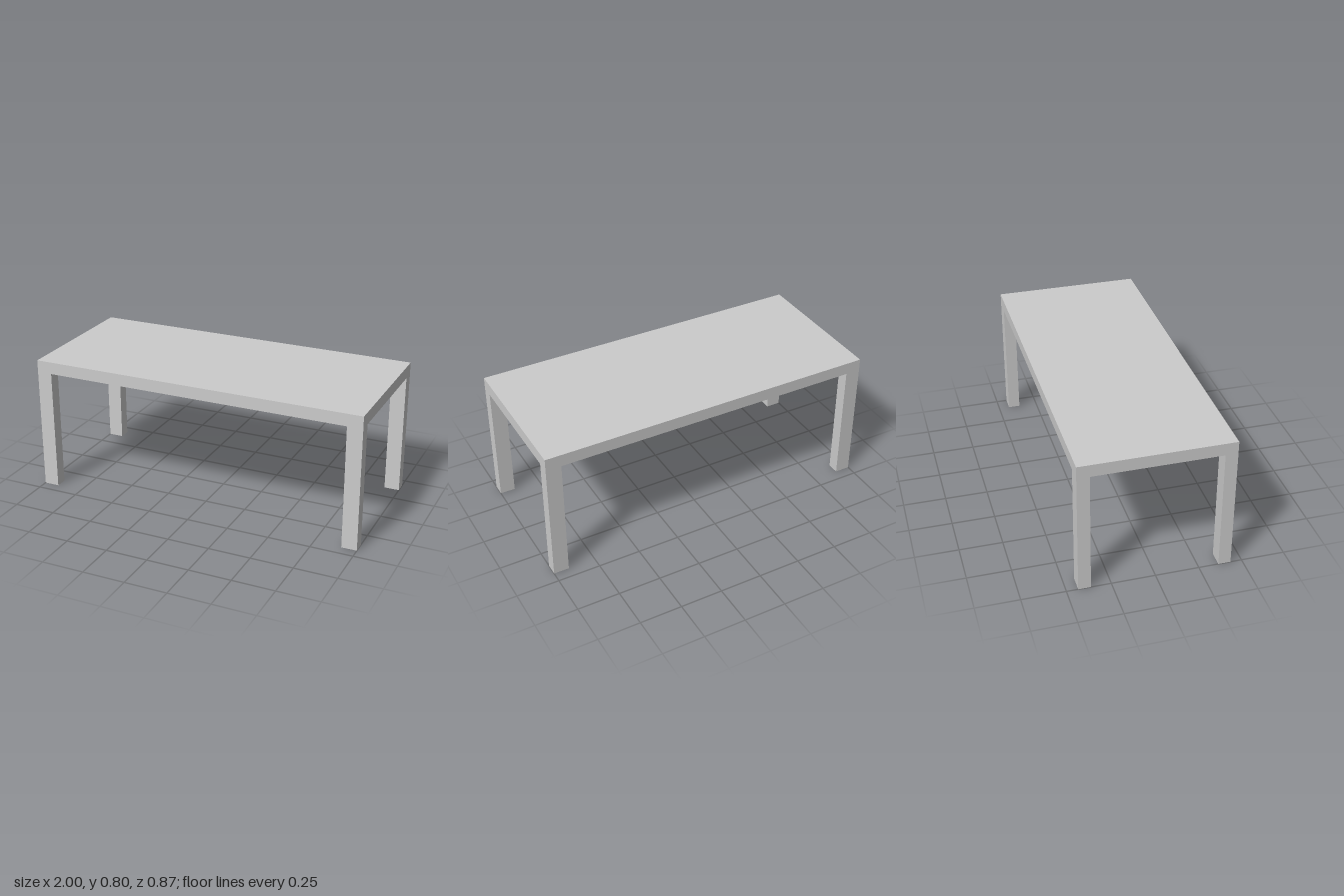
import * as THREE from 'three';

const WIDTH = 2, DEPTH = 0.87, HEIGHT = 0.8, TOP = 0.072;
const LEG_X = 0.09, LEG_Z = 0.071;

export function createModel() {
  const table = new THREE.Group();
  table.name = 'table';
  const material = new THREE.MeshStandardMaterial({ color: 0xcccccc });

  // Flat slab top
  const top = new THREE.Mesh(new THREE.BoxGeometry(WIDTH, TOP, DEPTH), material);
  top.name = 'tableTop';
  top.position.y = HEIGHT - TOP / 2;
  table.add(top);

  // Four legs flush with the corners
  const legHeight = HEIGHT - TOP;
  const legGeometry = new THREE.BoxGeometry(LEG_X, legHeight, LEG_Z);
  for (const [sx, side] of [[1, 'Left'], [-1, 'Right']]) {
    for (const [sz, end] of [[1, 'front'], [-1, 'back']]) {
      const leg = new THREE.Mesh(legGeometry, material);
      leg.name = `${end}${side}Leg`;
      leg.position.set(sx * (WIDTH - LEG_X) / 2, legHeight / 2, sz * (DEPTH - LEG_Z) / 2);
      table.add(leg);
    }
  }
  return table;
}
